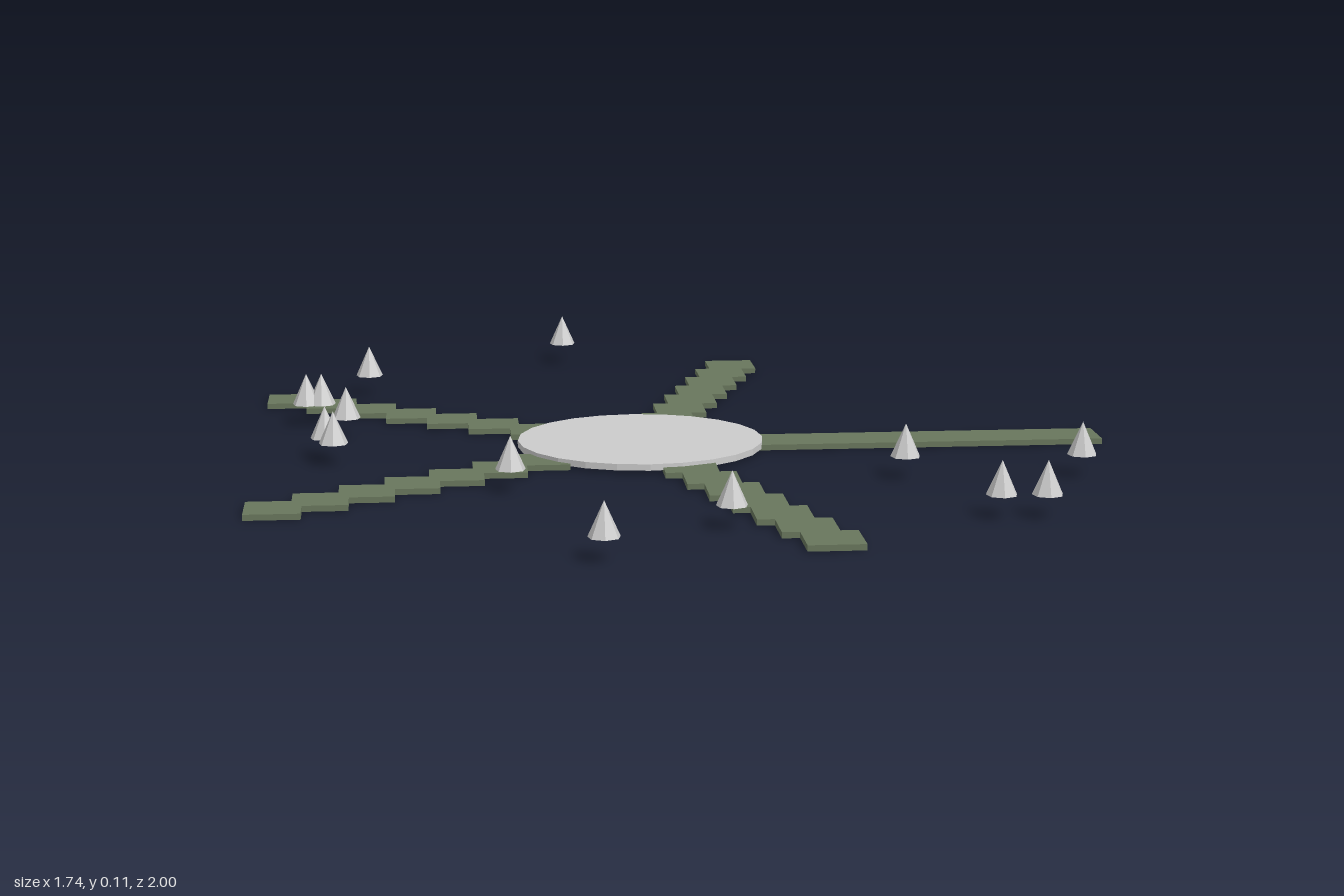
import * as THREE from 'three';

export function createModel() {
  const model = new THREE.Group();
  const grey = new THREE.MeshStandardMaterial({ color: 0xcccccc, flatShading: true });
  const green = new THREE.MeshStandardMaterial({ color: 0x68765c, flatShading: true });
  const cx = -0.085, cz = 0.025; // hub of the star layout

  const add = (parent, name, geometry, material, x, y, z) => {
    const mesh = new THREE.Mesh(geometry, material);
    mesh.name = name;
    mesh.position.set(x, y, z);
    parent.add(mesh);
  };

  // Central round plaza
  add(model, 'plaza', new THREE.CylinderGeometry(0.252, 0.252, 0.013, 24), grey, cx, 0.0125, cz);

  // Five paths of square, axis-aligned tiles radiating from the plaza
  const tile = 0.107, thickness = 0.0115;
  const tileGeometry = new THREE.BoxGeometry(tile, thickness, tile);
  for (let arm = 0; arm < 5; arm++) {
    const path = new THREE.Group();
    path.name = `path${arm + 1}`;
    const angle = (arm * Math.PI * 2) / 5;
    for (let i = 0; i < 8; i++) {
      const d = 0.151 + i * tile;
      add(path, 'pathTile', tileGeometry, green,
        cx + Math.cos(angle) * d, thickness / 2, cz + Math.sin(angle) * d);
    }
    model.add(path);
  }

  // Small cone trees scattered around, floating slightly above the ground
  const coneGeometry = new THREE.ConeGeometry(0.03, 0.066, 7);
  const spots = [
    [-0.193, -0.971], [-0.645, -0.6], [-0.775, -0.278], [-0.743, -0.278], [-0.688, -0.122],
    [-0.727, 0.079], [-0.709, 0.135], [-0.365, 0.407], [0.026, 0.749], [-0.222, 0.968],
    [0.41, 0.36], [0.759, 0.373], [0.532, 0.708], [0.617, 0.714],
  ];
  for (const [x, z] of spots) add(model, 'coneTree', coneGeometry, grey, x, 0.076, z);

  return model;
}
